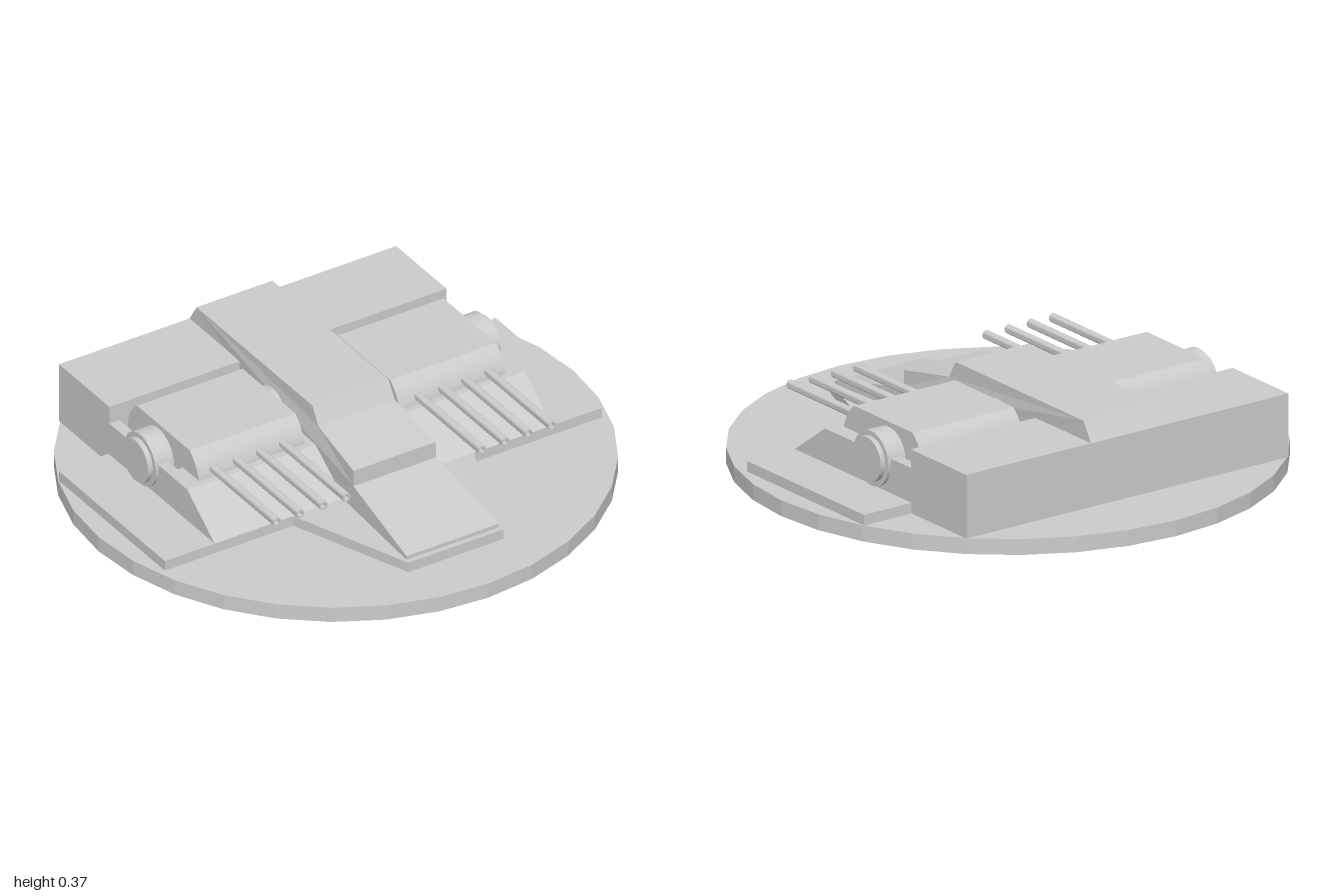
import * as THREE from 'three';
import { toCreasedNormals } from 'three/addons/utils/BufferGeometryUtils.js';

const material = new THREE.MeshStandardMaterial({ color: 0xcccccc });

function add(parent, name, geometry) {
  const mesh = new THREE.Mesh(geometry, material);
  mesh.name = name;
  parent.add(mesh);
  return mesh;
}

function polygon(points) {
  return new THREE.Shape(points.map(p => new THREE.Vector2(...p)));
}

// Side profile drawn in (z, y), extruded from x0 to x1
function sideExtrude(shape, x0, x1) {
  const g = new THREE.ExtrudeGeometry(shape, { depth: x1 - x0, bevelEnabled: false, curveSegments: 8 });
  return g.rotateY(-Math.PI / 2).translate(x1, 0, 0);
}

// Cylinder lying along x
function axle(radius, x0, x1) {
  return new THREE.CylinderGeometry(radius, radius, x1 - x0, 32)
    .rotateZ(Math.PI / 2).translate((x0 + x1) / 2, 0.205, -0.16);
}

export function createModel() {
  const root = new THREE.Group();
  root.name = 'turret';

  // Round turntable
  add(root, 'turntable', toCreasedNormals(
    new THREE.CylinderGeometry(1, 1, 0.06, 32).translate(0, 0.03, 0), 0.1));

  // Thin deck plate with a tapered nose, drawn in plan as [x, -z]
  const half = [[0.92, 0.385], [0.92, -0.31], [0.38, -0.31], [0.2, -0.785]];
  const plate = polygon([...half, ...half.map(([x, y]) => [-x, y]).reverse()]);
  add(root, 'deckPlate', new THREE.ExtrudeGeometry(plate, { depth: 0.04, bevelEnabled: false })
    .rotateX(-Math.PI / 2).translate(0, 0.06, 0));

  // Hull profile, solid or with a well for the gun mount
  const front = [[0.31, 0.06], [0.31, 0.1], [0.13, 0.23]];
  const rear = [[-0.38, 0.3], [-0.71, 0.3], [-0.71, 0.06]];
  const solid = polygon([...front, [-0.38, 0.23], ...rear]);
  const welled = polygon([...front, [0, 0.23], [0, 0.12], [-0.38, 0.12], ...rear]);
  add(root, 'hullCentre', sideExtrude(solid, -0.2, 0.2));

  // Central ridge: stepped, flaring slightly toward the nose
  const ridge = sideExtrude(polygon([
    [-0.71, 0.06], [0.13, 0.06], [0.765, 0.06], [0.765, 0.115], [0.385, 0.195], [0.385, 0.26],
    [0.135, 0.305], [0.095, 0.372], [-0.665, 0.372], [-0.71, 0.3],
  ]), -0.16, 0.16);
  const pos = ridge.attributes.position;
  for (let i = 0; i < pos.count; i++) {
    const flare = Math.max(0, pos.getZ(i) - 0.13) * 0.055;
    pos.setX(i, pos.getX(i) + Math.sign(pos.getX(i)) * flare);
  }
  ridge.computeVertexNormals();
  add(root, 'centralRidge', ridge);

  // Rounded gun housing profile
  const housing = new THREE.Shape();
  housing.moveTo(0.105, 0.14);
  housing.lineTo(0.105, 0.235);
  housing.quadraticCurveTo(0.09, 0.29, 0.045, 0.326);
  housing.lineTo(-0.3, 0.326);
  housing.quadraticCurveTo(-0.35, 0.29, -0.36, 0.225);
  housing.lineTo(-0.36, 0.14);
  housing.closePath();

  // Hollow-tipped gun barrel
  const r = 0.017;
  const barrel = toCreasedNormals(new THREE.LatheGeometry(
    [[0, 0], [r, 0], [r, 0.475], [0.011, 0.475], [0.011, 0.43], [0, 0.43]]
      .map(p => new THREE.Vector2(...p)), 16), 0.8).rotateX(Math.PI / 2);

  for (const side of [1, -1]) {
    const span = (a, b) => side > 0 ? [a, b] : [-b, -a];
    const mount = new THREE.Group();
    mount.name = side > 0 ? 'leftGunMount' : 'rightGunMount';
    root.add(mount);
    add(mount, 'hullBay', sideExtrude(welled, ...span(0.2, 0.667)));
    add(mount, 'hullSide', sideExtrude(solid, ...span(0.667, 0.71)));
    add(mount, 'gunHousing', toCreasedNormals(sideExtrude(housing, ...span(0.2, 0.645)), 0.5));
    add(mount, 'axle', axle(0.103, ...span(0.15, 0.722)));
    add(mount, 'axleCap', axle(0.084, ...span(0.72, 0.742)));
    for (let i = 0; i < 4; i++) {
      add(mount, 'barrel', barrel).position.set(side * (0.285 + 0.098 * i), 0.257, 0.04);
    }
  }
  return root;
}
